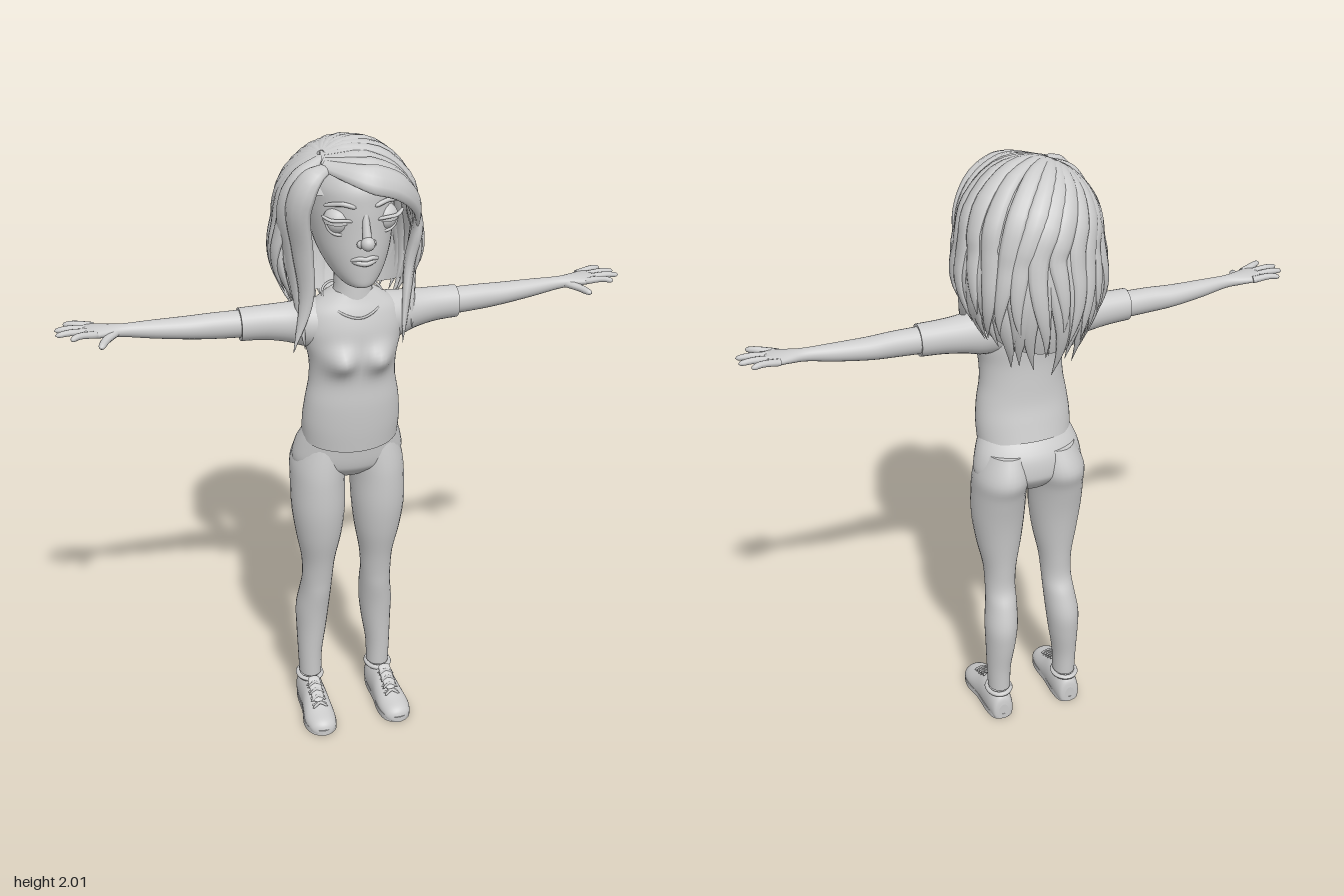
import * as THREE from 'three';
import { ParametricGeometry } from 'three/addons/geometries/ParametricGeometry.js';

const V = (x, y, z) => new THREE.Vector3(x, y, z);
const material = new THREE.MeshStandardMaterial({ color: 0xcccccc });
const thinMaterial = new THREE.MeshStandardMaterial({ color: 0xcccccc, side: THREE.DoubleSide });

// Skin a list of elliptical rings { c, u, v } and close both ends
function skin(rings, n = 28) {
  const pos = [], idx = [];
  const addRing = (r, k) => {
    for (let j = 0; j < n; j++) {
      const a = (j / n) * Math.PI * 2;
      pos.push(...r.c.clone().addScaledVector(r.u, Math.cos(a) * k).addScaledVector(r.v, Math.sin(a) * k).toArray());
    }
  };
  const last = rings[rings.length - 1];
  const join = (i) => {
    for (let j = 0; j < n; j++) {
      const a = i * n + j, b = i * n + (j + 1) % n;
      idx.push(a, b, b + n, a, b + n, a + n);
    }
  };
  addRing(rings[0], 0); addRing(rings[0], 1); join(0);
  rings.forEach((r, i) => { addRing(r, 1); if (i) join(i + 1); });
  addRing(last, 1); addRing(last, 0); join(rings.length + 2);
  const g = new THREE.BufferGeometry();
  g.setAttribute('position', new THREE.Float32BufferAttribute(pos, 3));
  g.setIndex(idx);
  g.computeVertexNormals();
  return g;
}

// Smoothly subdivide rows of section numbers
function smooth(rows, steps = 5) {
  const out = [], at = (i) => rows[Math.min(rows.length - 1, Math.max(0, i))];
  for (let i = 0; i < rows.length - 1; i++) {
    for (let s = 0; s < steps; s++) {
      const t = s / steps;
      out.push(rows[i].map((b, k) => {
        const a = at(i - 1)[k], c = at(i + 1)[k], d = at(i + 2)[k];
        return b + 0.5 * t * (c - a + t * (2 * a - 5 * b + 4 * c - d + t * (3 * (b - c) + d - a)));
      }));
    }
  }
  out.push(rows[rows.length - 1]);
  return out;
}

// Upright loft: [y, x, half width, front z, back z, tilt]
const loftY = (rows, n) => skin(smooth(rows).map(([y, x, rx, f, b, tilt = 0]) => {
  const rz = (f - b) / 2;
  return { c: V(x, y, (f + b) / 2), u: V(0, -tilt * rz, rz), v: V(rx, 0, 0) };
}), n);
// Sideways loft: [x, y, z, half height, half depth]
const loftX = (rows) => skin(smooth(rows).map(([x, y, z, ry, rz]) =>
  ({ c: V(x, y, z), u: V(0, ry, 0), v: V(0, 0, rz) })));

// Sweep a flat oval along points; normalAt gives the thickness direction
function sweep(points, width, thick, normalAt, profile, steps = 24, n = 10) {
  const curve = new THREE.CatmullRomCurve3(points), rings = [];
  for (let i = 0; i <= steps; i++) {
    const t = i / steps, c = curve.getPoint(t), T = curve.getTangent(t);
    const N = normalAt(c).clone();
    N.addScaledVector(T, -N.dot(T)).normalize();
    const k = profile(t);
    rings.push({ c, u: N.clone().multiplyScalar(thick * k), v: T.clone().cross(N).multiplyScalar(width * k) });
  }
  return skin(rings, n);
}
const rounded = (t) => Math.sqrt(Math.max(0.0004, 1 - Math.pow(2 * t - 1, 6)));
const fingerShape = (t) => (1 - 0.25 * t) * Math.sqrt(Math.max(0.0004, 1 - Math.pow(t, 10)));
const lockShape = (t) => Math.min(1, 0.35 + 2 * t) * Math.max(0.02, 1 - Math.pow(t, 3.5));
const up = () => V(0, 1, 0), forward = () => V(0, 0, 1);

function mirrored(g) {
  const m = g.clone().scale(-1, 1, 1), a = m.index.array;
  for (let i = 0; i < a.length; i += 3) [a[i], a[i + 1]] = [a[i + 1], a[i]];
  m.computeVertexNormals();
  return m;
}

// Hair surface: from the crown over the skull, then hanging down
const hairCentre = V(0, 1.77, -0.01), crown = V(-0.42, 0.88, 0.22).normalize();
function hairPoint(angle, t, r = 1) {
  const e = V(Math.cos(angle), 0, -Math.sin(angle)), s = Math.max(0, (t - 0.45) / 0.55);
  const d = crown.clone().lerp(e, Math.min(1, t / 0.45)).normalize();
  const k = r * (1 + 0.13 * Math.sin(Math.PI * s) - 0.15 * s * s);
  const drop = s * (0.26 + 0.1 * Math.max(0, Math.sin(angle)));
  return V(d.x * 0.2 * k, d.y * 0.217 * r - drop, d.z * 0.205 * k).add(hairCentre);
}
const outward = (p) => V(p.x, Math.max(0, p.y - hairCentre.y), p.z - hairCentre.z);

export function createModel() {
  const model = new THREE.Group();
  const add = (name, g, mat = material, parent = model) => {
    const m = new THREE.Mesh(g, mat);
    m.name = name;
    parent.add(m);
    return m;
  };
  const pair = (name, g) => {
    add(name + 'Left', g);
    add(name + 'Right', mirrored(g));
  };

  // Shirt, with the bust raised from the loft
  const shirt = loftY([
    [1.065, 0, 0.155, 0.142, -0.075, 0.23], [1.13, 0, 0.157, 0.15, -0.06, 0.15], [1.2, 0, 0.15, 0.154, -0.045, 0.05],
    [1.27, 0, 0.138, 0.152, -0.038, 0], [1.34, 0, 0.138, 0.156, -0.034, 0], [1.4, 0, 0.152, 0.158, -0.036, 0],
    [1.45, 0, 0.158, 0.154, -0.036, 0], [1.5, 0, 0.145, 0.14, -0.03, 0], [1.535, 0, 0.105, 0.125, -0.015, 0], [1.56, 0, 0.065, 0.115, 0, 0],
  ], 48);
  const p = shirt.attributes.position;
  for (let i = 0; i < p.count; i++) {
    if (p.getZ(i) < 0.07) continue;
    const dx = (Math.abs(p.getX(i)) - 0.062) / 0.045, dy = (p.getY(i) - 1.355) / 0.042;
    p.setZ(i, p.getZ(i) + 0.042 * Math.exp(-dx * dx - dy * dy));
  }
  shirt.computeVertexNormals();
  add('shirt', shirt);
  const collar = new THREE.CatmullRomCurve3([V(0, 1.49, 0.143), V(0.06, 1.51, 0.125), V(0.093, 1.543, 0.055),
    V(0.06, 1.56, 0), V(0, 1.56, -0.01), V(-0.06, 1.56, 0), V(-0.093, 1.543, 0.055), V(-0.06, 1.51, 0.125)], true);
  add('collar', new THREE.TubeGeometry(collar, 48, 0.004, 6, true));
  add('neck', loftY([[1.5, 0, 0.085, 0.125, -0.02], [1.55, 0, 0.062, 0.122, 0], [1.6, 0, 0.056, 0.118, 0], [1.68, 0, 0.06, 0.11, -0.02]]));

  // Sleeves, arms and hands
  pair('sleeve', loftX([[0.06, 1.455, 0.05, 0.08, 0.075], [0.14, 1.453, 0.042, 0.074, 0.07], [0.2, 1.458, 0.032, 0.062, 0.058],
    [0.27, 1.463, 0.027, 0.054, 0.05], [0.345, 1.465, 0.027, 0.051, 0.048]]));
  pair('arm', loftX([[0.3, 1.465, 0.025, 0.043, 0.042], [0.42, 1.468, 0.023, 0.04, 0.038], [0.5, 1.47, 0.02, 0.035, 0.037],
    [0.6, 1.477, 0.02, 0.028, 0.03], [0.69, 1.485, 0.022, 0.02, 0.022], [0.74, 1.489, 0.022, 0.018, 0.033],
    [0.785, 1.493, 0.022, 0.015, 0.046], [0.81, 1.495, 0.022, 0.01, 0.042]]));
  [[-0.016, 0.862, -0.036], [0.009, 0.892, 0.006], [0.033, 0.893, 0.045], [0.055, 0.853, 0.092]].forEach(([z, tx, tz], i) =>
    pair('finger' + (i + 1), sweep([V(0.775, 1.494, z), V((0.8 + tx) / 2, 1.502, (z + tz) / 2), V(tx, 1.499, tz)], 0.0125, 0.011, up, fingerShape, 14)));
  pair('thumb', sweep([V(0.715, 1.486, 0.032), V(0.75, 1.478, 0.068), V(0.772, 1.472, 0.112)], 0.015, 0.013, up, fingerShape, 14));

  // Trousers
  add('hips', loftY([[0.915, 0, 0.07, 0.06, -0.07], [0.95, 0, 0.16, 0.1, -0.1], [0.98, 0, 0.182, 0.114, -0.11],
    [1.04, 0, 0.172, 0.123, -0.1], [1.1, 0, 0.148, 0.13, -0.06]], 40));
  pair('leg', loftY([[0.115, 0.122, 0.038, 0.01, -0.08], [0.2, 0.122, 0.041, 0.014, -0.085], [0.3, 0.116, 0.05, 0.022, -0.1],
    [0.38, 0.112, 0.055, 0.032, -0.105], [0.46, 0.105, 0.052, 0.046, -0.085], [0.52, 0.102, 0.051, 0.054, -0.06],
    [0.6, 0.1, 0.056, 0.07, -0.06], [0.7, 0.1, 0.075, 0.096, -0.07], [0.8, 0.101, 0.087, 0.112, -0.085],
    [0.9, 0.1, 0.088, 0.115, -0.108], [0.97, 0.094, 0.088, 0.111, -0.127], [1.05, 0.082, 0.07, 0.1, -0.095]]));

  // Shoes: [z, x, top, half width], flattened on the ground
  const shoe = skin(smooth([[-0.09, 0.125, 0.06, 0.02], [-0.082, 0.125, 0.088, 0.035], [-0.05, 0.125, 0.104, 0.043], [0, 0.126, 0.104, 0.045],
    [0.04, 0.127, 0.1, 0.046], [0.08, 0.129, 0.082, 0.05], [0.13, 0.132, 0.062, 0.053], [0.17, 0.132, 0.05, 0.045],
    [0.188, 0.131, 0.038, 0.03], [0.195, 0.13, 0.025, 0.014]]).map(([z, x, top, r]) =>
    ({ c: V(x, top * 0.35, z), u: V(r, 0, 0), v: V(0, top * 0.65, 0) })));
  const sp = shoe.attributes.position;
  for (let i = 0; i < sp.count; i++) sp.setY(i, Math.max(0.004, sp.getY(i)));
  shoe.computeVertexNormals();
  pair('shoe', shoe);
  const outline = new THREE.Shape();
  outline.moveTo(0.125, 0.092);
  outline.splineThru([[0.158, 0.078], [0.17, 0.03], [0.174, -0.05], [0.187, -0.12], [0.173, -0.175], [0.132, -0.198],
    [0.09, -0.175], [0.077, -0.12], [0.082, -0.05], [0.082, 0.03], [0.093, 0.078], [0.125, 0.092]].map(([x, y]) => new THREE.Vector2(x, y)));
  const sole = new THREE.ExtrudeGeometry(outline, { depth: 0.02, bevelEnabled: false, curveSegments: 4 }).rotateX(-Math.PI / 2);
  for (const s of [1, -1]) {
    const g = new THREE.Group();
    g.name = s > 0 ? 'shoeTrimLeft' : 'shoeTrimRight';
    const side = (geo) => {
      if (s > 0) return geo;
      if (!geo.index) geo.setIndex([...Array(geo.attributes.position.count).keys()]);
      return mirrored(geo);
    };
    add('sole', side(sole.clone()), material, g);
    add('shoeCollar', side(new THREE.TorusGeometry(0.04, 0.008, 8, 28).rotateX(Math.PI / 2).scale(1, 1, 1.15).translate(0.124, 0.102, -0.036)), material, g);
    add('tongue', side(sweep([V(0.128, 0.125, 0.022), V(0.128, 0.106, 0.05), V(0.13, 0.075, 0.11)], 0.022, 0.006, () => V(0, 1, 0.6), rounded)), material, g);
    for (let i = 0; i < 4; i++) {
      const z = 0.045 + i * 0.023, y = 0.112 - i * 0.0125;
      for (const k of [1, -1])
        add('lace', side(sweep([V(0.102, y - 0.012, z - k * 0.008), V(0.129, y + 0.002, z), V(0.156, y - 0.012, z + k * 0.008)], 0.005, 0.005, up, rounded, 10, 6)), material, g);
    }
    model.add(g);
  }

  // Head and face
  add('head', loftY([[1.597, 0, 0.02, 0.165, 0.1], [1.605, 0, 0.046, 0.186, 0.06], [1.64, 0, 0.078, 0.193, 0], [1.7, 0, 0.108, 0.197, -0.08],
    [1.77, 0, 0.124, 0.197, -0.13], [1.84, 0, 0.13, 0.197, -0.15], [1.9, 0, 0.125, 0.19, -0.145], [1.95, 0, 0.09, 0.145, -0.1], [1.972, 0, 0.03, 0.06, -0.04]], 40));
  add('noseTip', new THREE.SphereGeometry(0.021, 20, 14).translate(0, 1.748, 0.217));
  add('noseBridge', sweep([V(0, 1.84, 0.185), V(0, 1.79, 0.2), V(0, 1.75, 0.212)], 0.015, 0.014, forward, (t) => 0.6 + 0.4 * t));
  add('upperLip', sweep([V(-0.044, 1.69, 0.182), V(-0.018, 1.697, 0.196), V(0, 1.694, 0.198), V(0.018, 1.697, 0.196), V(0.044, 1.69, 0.182)], 0.007, 0.007, forward, rounded));
  add('lowerLip', sweep([V(-0.04, 1.688, 0.182), V(0, 1.681, 0.198), V(0.04, 1.688, 0.182)], 0.008, 0.008, forward, rounded));
  const at = (g, x = 0.07, y = 1.803, z = 0.143) => g.translate(x, y, z);
  pair('nostril', at(new THREE.SphereGeometry(0.012, 12, 8), 0.018, 1.744, 0.204));
  pair('eye', at(new THREE.SphereGeometry(0.039, 24, 16)));
  pair('upperLid', at(new THREE.SphereGeometry(0.043, 24, 10, 0, Math.PI * 2, 0, Math.PI / 2).rotateX(0.12)));
  pair('lowerLid', at(new THREE.TorusGeometry(0.037, 0.005, 8, 24, Math.PI).rotateZ(Math.PI).rotateY(0.3), 0.071, 1.803, 0.166));
  pair('lashes', sweep([V(0.03, 1.806, 0.178), V(0.065, 1.815, 0.192), V(0.1, 1.816, 0.18), V(0.124, 1.828, 0.16)], 0.005, 0.008, forward, rounded));
  pair('eyebrow', sweep([V(0.028, 1.85, 0.192), V(0.065, 1.861, 0.182), V(0.112, 1.85, 0.14)], 0.007, 0.007, forward, rounded));

  // Hair: inner shell with a hairline over the face
  const hair = new THREE.Group();
  hair.name = 'hair';
  model.add(hair);
  add('hairShell', new ParametricGeometry((u, v, target) => {
    const a = u * Math.PI * 2;
    const end = 0.24 + 0.68 * THREE.MathUtils.smoothstep(Math.sin(a), -0.55, -0.15);
    target.copy(hairPoint(a, v * end, 0.97));
  }, 72, 28), thinMaterial, hair);
  // Locks radiating from the crown, in two staggered layers
  const lock = (pts, w, th = 0.016) => add('lock', sweep(pts, w, th, outward, lockShape, 28, 10), material, hair);
  for (let layer = 0; layer < 2; layer++) {
    const count = layer ? 15 : 22;
    for (let i = 0; i < count; i++) {
      const a = -0.2 + (i + layer * 0.3) / (count - 1) * (Math.PI + 0.3), pts = [];
      const end = (layer ? 0.84 : 0.97) + 0.07 * Math.sin(i * 2.4);
      for (let k = 0; k <= 9; k++) {
        const t = 0.02 + (k / 9) * end;
        pts.push(hairPoint(a + 0.1 * t * Math.sin(t * 7 + i * 1.3), t, layer ? 1.05 : 1));
      }
      lock(pts, layer ? 0.033 : 0.036);
    }
  }
  // Fringe swept across to the left
  const low = [V(-0.1, 1.955, 0.1), V(0, 1.937, 0.19), V(0.1, 1.9, 0.178), V(0.178, 1.82, 0.12), V(0.208, 1.7, 0.05)];
  const high = [V(-0.09, 1.968, 0.03), V(0, 1.985, 0.02), V(0.12, 1.935, 0), V(0.188, 1.85, -0.01), V(0.21, 1.7, -0.03)];
  for (let i = 0; i < 5; i++) lock(low.map((q, k) => q.clone().lerp(high[k], i / 4)), 0.048, 0.022);
  // Long locks framing the face
  lock([V(-0.08, 1.95, 0.1), V(-0.14, 1.93, 0.13), V(-0.18, 1.84, 0.12), V(-0.165, 1.7, 0.1), V(-0.155, 1.55, 0.1), V(-0.2, 1.39, 0.115)], 0.048, 0.026);
  lock([V(-0.09, 1.965, 0.05), V(-0.16, 1.92, 0.07), V(-0.2, 1.82, 0.06), V(-0.185, 1.68, 0.05), V(-0.17, 1.55, 0.06), V(-0.165, 1.4, 0.12)], 0.045, 0.024);
  lock([V(0.17, 1.84, 0.1), V(0.205, 1.74, 0.06), V(0.185, 1.62, 0.05), V(0.165, 1.52, 0.085), V(0.14, 1.39, 0.13)], 0.04, 0.02);
  lock([V(0.18, 1.84, 0.04), V(0.21, 1.72, 0.02), V(0.2, 1.6, 0.02), V(0.185, 1.5, 0.07), V(0.18, 1.42, 0.1)], 0.035, 0.018);
  return model;
}
